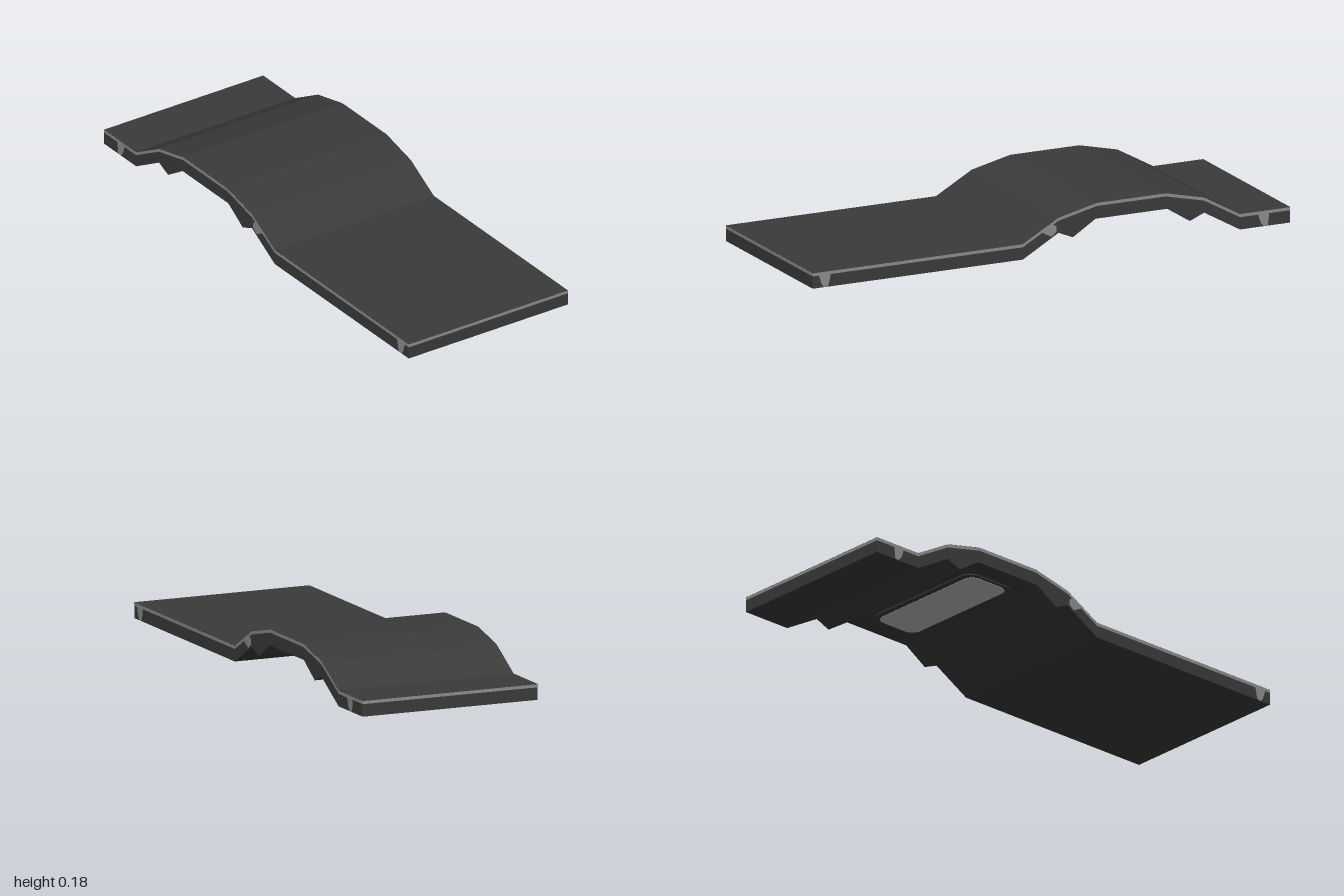
import * as THREE from 'three';

const WIDTH = 0.725;

// Extrude a (z, y) outline across the width, centred on x = 0
function across(points, width) {
  const shape = new THREE.Shape(points.map(([z, y]) => new THREE.Vector2(z, y)));
  const geo = new THREE.ExtrudeGeometry(shape, { depth: width, bevelEnabled: false });
  geo.translate(0, 0, -width / 2);
  geo.rotateY(-Math.PI / 2);
  return geo;
}

// Flat plate with rounded corners: half width w, half depth d, corner radius r
function roundedPlate(w, d, r, thickness) {
  const shape = new THREE.Shape();
  shape.absarc(w - r, d - r, r, 0, Math.PI / 2);
  shape.absarc(-w + r, d - r, r, Math.PI / 2, Math.PI);
  shape.absarc(-w + r, -d + r, r, Math.PI, Math.PI * 1.5);
  shape.absarc(w - r, -d + r, r, Math.PI * 1.5, Math.PI * 2);
  const geo = new THREE.ExtrudeGeometry(shape, { depth: thickness, bevelEnabled: false, curveSegments: 6 });
  return geo.rotateX(-Math.PI / 2);
}

function material(name, color) {
  const m = new THREE.MeshStandardMaterial({ color });
  m.name = name;
  return m;
}

export function createModel() {
  const group = new THREE.Group();
  const dark = material('dark rubber', 0x3a3a3a);
  const light = material('light grey', 0x8c8c8c);
  const pale = material('pale grey', 0xb8b8b8);

  const add = (name, geometry, mat) => {
    const mesh = new THREE.Mesh(geometry, mat);
    mesh.name = name;
    group.add(mesh);
    return mesh;
  };

  // Flat run, raised hump and short tail
  const top = [[1, 0.061], [0.12, 0.061], [-0.03, 0.145], [-0.19, 0.182],
    [-0.48, 0.182], [-0.64, 0.145], [-0.79, 0.061], [-1, 0.061]];
  const bottom = [[-1, 0], [-0.79, 0], [-0.64, 0.085], [-0.58, 0.06], [-0.485, 0.12],
    [-0.185, 0.12], [-0.09, 0.06], [-0.03, 0.085], [0.12, 0], [1, 0]];
  add('body', across([...top, ...bottom], WIDTH), dark);

  // Thin edge band just below the top surface
  const edge = top.map(([z, y]) => [Math.abs(z) === 1 ? z * 1.0005 : z, y - 0.001]);
  const lower = edge.map(([z, y]) => [z, y - 0.012]).reverse();
  add('edgeBand', across([...edge, ...lower], WIDTH + 0.001), light);

  // Small marks on both sides
  const marks = [
    [[0.975, 0.05], [0.925, 0.05], [0.932, 0.015], [0.938, 0.001], [0.955, 0.001], [0.964, 0.015]],
    [[-0.865, 0.05], [-0.912, 0.05], [-0.907, 0.001], [-0.89, 0.001], [-0.877, 0.015]],
    [[0.047, 0.098], [0.0, 0.125], [-0.02, 0.112], [-0.02, 0.09], [0.0, 0.074]],
  ];
  for (const side of [-1, 1]) {
    for (const outline of marks) {
      add('sideMark', across(outline, 0.002), light).position.x = side * WIDTH / 2;
    }
  }

  // Recess rim under the hump with a pale rounded pad on it
  add('underRim', roundedPlate(0.28, 0.12, 0.05, 0.006), dark).position.set(0, 0.115, -0.335);
  add('underPad', roundedPlate(0.265, 0.095, 0.04, 0.002), pale).position.set(0, 0.1135, -0.335);

  return group;
}
